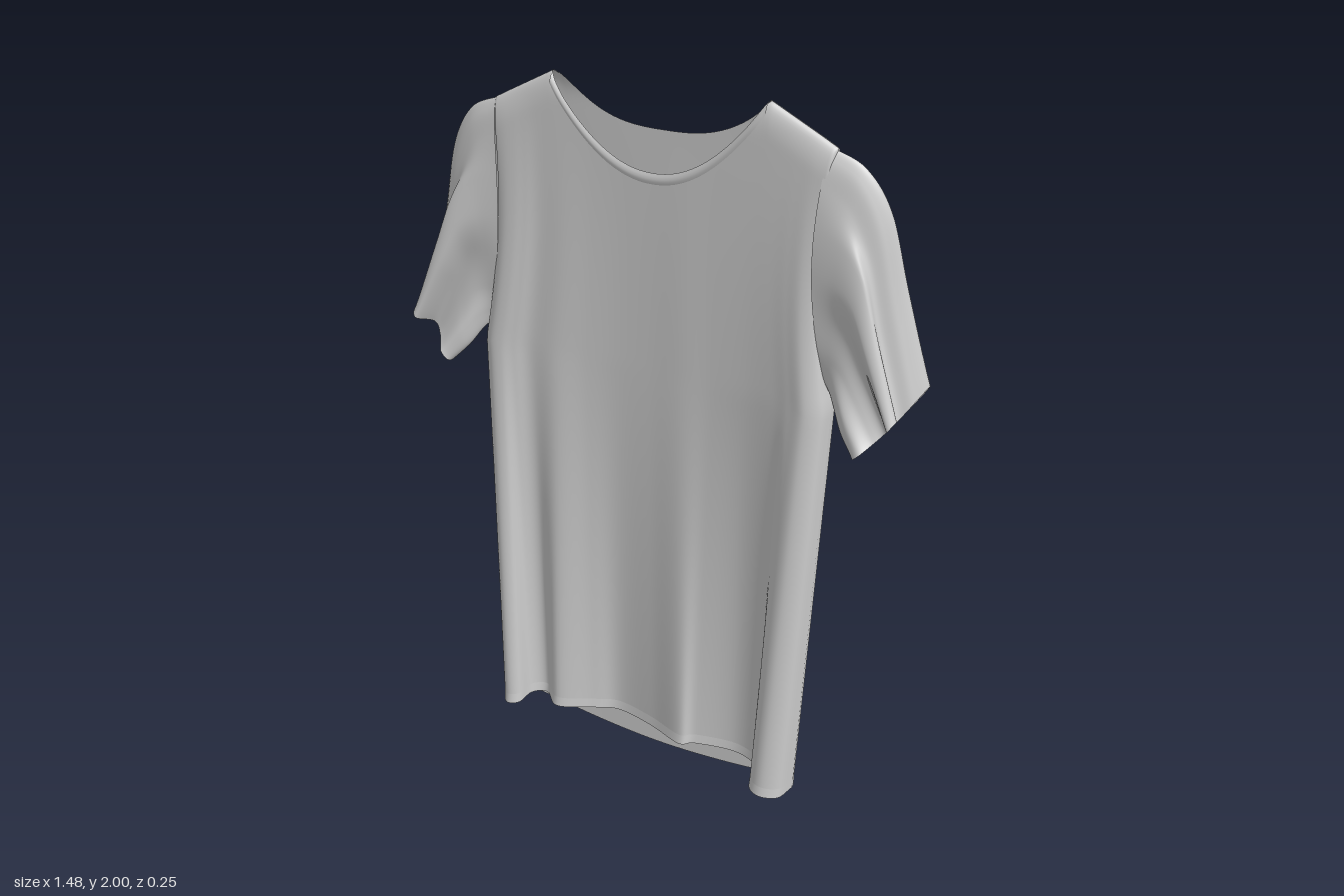
import * as THREE from 'three';

const material = new THREE.MeshStandardMaterial({ color: 0xcccccc, side: THREE.DoubleSide, roughness: 0.9 });
const { lerp, clamp } = THREE.MathUtils;
const spline = (pts) => new THREE.SplineCurve(pts.map((p) => new THREE.Vector2(p[0], p[1])));

// Grid surface from a rule; wrap joins the last column to the first
function sheet(name, cols, rows, rule, wrap = false) {
  const pos = [], index = [];
  const n = wrap ? cols : cols + 1;
  for (let j = 0; j <= rows; j++)
    for (let i = 0; i < n; i++) pos.push(...rule(i / cols, j / rows));
  for (let j = 0; j < rows; j++)
    for (let i = 0; i < cols; i++) {
      const a = j * n + i, b = j * n + ((i + 1) % n), c = a + n, d = b + n;
      index.push(a, b, d, a, d, c);
    }
  const geo = new THREE.BufferGeometry();
  geo.setAttribute('position', new THREE.Float32BufferAttribute(pos, 3));
  geo.setIndex(index);
  geo.computeVertexNormals();
  const mesh = new THREE.Mesh(geo, material);
  mesh.name = name;
  return mesh;
}

// Horizontal sections (x, z) of each panel at hem and underarm
const FRONT = [
  [[-0.467, 0.005], [-0.47, 0.065], [-0.432, 0.12], [-0.395, 0.105], [-0.39, 0.04], [-0.35, 0.014], [-0.29, 0.06], [-0.19, 0.005], [-0.12, -0.028],
    [0, -0.01], [0.11, 0.024], [0.15, -0.005], [0.27, -0.034], [0.355, 0.0], [0.367, 0.085], [0.41, 0.11], [0.458, 0.08], [0.467, 0.005]],
  [[-0.51, -0.02], [-0.503, 0.025], [-0.475, 0.05], [-0.44, 0.052], [-0.405, 0.04], [-0.36, 0.024], [-0.28, 0.025], [-0.19, 0.012], [-0.1, 0.004],
    [0, 0.004], [0.1, 0.01], [0.19, 0.01], [0.29, 0.016], [0.37, 0.028], [0.42, 0.04], [0.465, 0.048], [0.503, 0.025], [0.51, -0.02]],
].map(spline);
const BACK = [
  [[0.467, 0.005], [0.454, -0.024], [0.4, -0.042], [0.23, -0.046], [0, -0.045], [-0.23, -0.046], [-0.4, -0.042], [-0.454, -0.024], [-0.467, 0.005]],
  [[0.51, -0.02], [0.498, -0.068], [0.44, -0.084], [0.24, -0.062], [0, -0.05], [-0.24, -0.062], [-0.44, -0.084], [-0.498, -0.068], [-0.51, -0.02]],
].map(spline);
const UNDERARM = 1.25, MID_Z = -0.015, SHIFT = 0.015, NECK = 0.3;

const shoulderY = (x) => 2 - 0.09 * clamp((Math.abs(x) - NECK) / 0.18, 0, 1);
function panel(isFront) {
  const [hem, mid] = isFront ? FRONT : BACK;
  const topX = (u) => mid.getPoint(u).x * 0.94;
  const top = (u) => {
    const x = topX(u), r = Math.abs(x) / NECK;
    if (r >= 1) return shoulderY(x);
    return isFront ? 1.785 + 0.215 * r ** 2.1 : 1.88 + 0.12 * r ** 2.8;
  };
  const bottom = (u) => {
    const x = hem.getPoint(u).x;
    if (!isFront) return 0.048 * Math.min(1, Math.abs(x) / 0.467) ** 2;
    return 0.048 + (0.036 - 0.03 * x) * (1 - Math.abs(2 * u - 1) ** 8);
  };
  // Point on the cloth at column u and height y, pushed outwards by off
  const at = (u, y, off = 0) => {
    const a = hem.getPoint(u), b = mid.getPoint(u);
    let x, z;
    if (y < UNDERARM) {
      const t = clamp(y / UNDERARM, 0, 1);
      x = lerp(a.x, b.x, t);
      z = lerp(a.y, b.y, t);
    } else {
      const t = clamp((y - UNDERARM) / 0.68, 0, 1);
      x = b.x * (1 - 0.06 * t - 0.055 * Math.sin(Math.PI * t)) + SHIFT * t;
      const edge = Math.min(1, (1 - Math.abs(2 * u - 1)) * 8);
      z = lerp(b.y, MID_Z + (isFront ? 0.025 : -0.032) * edge, t);
      // Front and back round together along the shoulder line
      const d = clamp((shoulderY(topX(u)) - y) / 0.08, 0, 1);
      z = MID_Z + (z - MID_Z) * Math.sqrt(d * (2 - d));
    }
    return [x, y, z + (isFront ? off : -off)];
  };
  return { top, bottom, topX, at };
}

// Sleeve outline: outer edge, inner edge, and ring shapes (c across, z depth)
const OUTER = spline([[0.467, 1.91], [0.553, 1.871], [0.62, 1.77], [0.67, 1.58], [0.738, 1.335]]);
const INNER = spline([[0.495, 1.3], [0.51, 1.285], [0.53, 1.26], [0.56, 1.215], [0.605, 1.167]]);
const closed = (pts) => new THREE.CatmullRomCurve3(pts.map((p) => new THREE.Vector3(p[0], p[1], 0)), true);
const CUFF = closed([[0, -0.075], [0.13, -0.03], [0.34, 0.005], [0.19, 0.068], [0.29, 0.088], [0.45, 0.03],
  [0.65, 0.042], [0.85, 0.077], [1, 0.058], [0.95, 0.0], [0.5, -0.088], [0.12, -0.126]]);
const ARMHOLE = closed(Array.from({ length: 12 }, (_, j) => {
  const a = j <= 8 ? (Math.PI * j) / 8 : Math.PI * (1 + (j - 8) / 4);
  return [(1 - Math.cos(a)) / 2, MID_Z + 0.045 * Math.sin(a)];
}));

function sleevePoint(side, u, s) {
  const p = OUTER.getPoint(s), q = INNER.getPoint(s);
  const a = ARMHOLE.getPoint(u), b = CUFF.getPoint(u), w = s ** 1.35;
  const c = lerp(a.x, b.x, w);
  const bow = Math.sin(Math.PI * clamp(c, 0, 1));
  const x = lerp(p.x, q.x, c) - 0.03 * bow * (1 - s);
  // The left cuff sags a little in the middle
  const sag = side > 0 ? 0.015 * bow * w : 0;
  return [side * x + SHIFT * 0.5 * (1 - s), lerp(p.y, q.y, c) - sag, lerp(a.y, b.y, w)];
}

export function createModel() {
  const shirt = new THREE.Group();
  shirt.name = 'shirt';

  for (const isFront of [true, false]) {
    const name = isFront ? 'front' : 'back';
    const { top, bottom, topX, at } = panel(isFront);

    // Body panel, rows closer together near the shoulders
    shirt.add(sheet(name + 'Panel', 136, 70, (u, v) => at(u, lerp(bottom(u), top(u), 1 - (1 - v) ** 1.5))));

    // Hem band
    shirt.add(sheet(name + 'Hem', 136, 2, (u, v) => at(u, bottom(u) + 0.03 * v, 0.003 * (1 - v))));

    // Collar band around the neckline
    const cols = Array.from({ length: 401 }, (_, i) => i / 400).filter((u) => Math.abs(topX(u)) < NECK);
    const u0 = cols[0], u1 = cols[cols.length - 1];
    shirt.add(sheet(name + 'Collar', 60, 4, (u, v) => {
      const k = lerp(u0, u1, u);
      return at(k, top(k) - 0.028 * (1 - v), 0.005 * Math.sin(Math.PI * (0.15 + 0.85 * v)));
    }));
  }

  // Short sleeves with folded cuffs
  for (const side of [1, -1])
    shirt.add(sheet(side > 0 ? 'leftSleeve' : 'rightSleeve', 96, 36, (u, v) => sleevePoint(side, u, v), true));

  return shirt;
}
